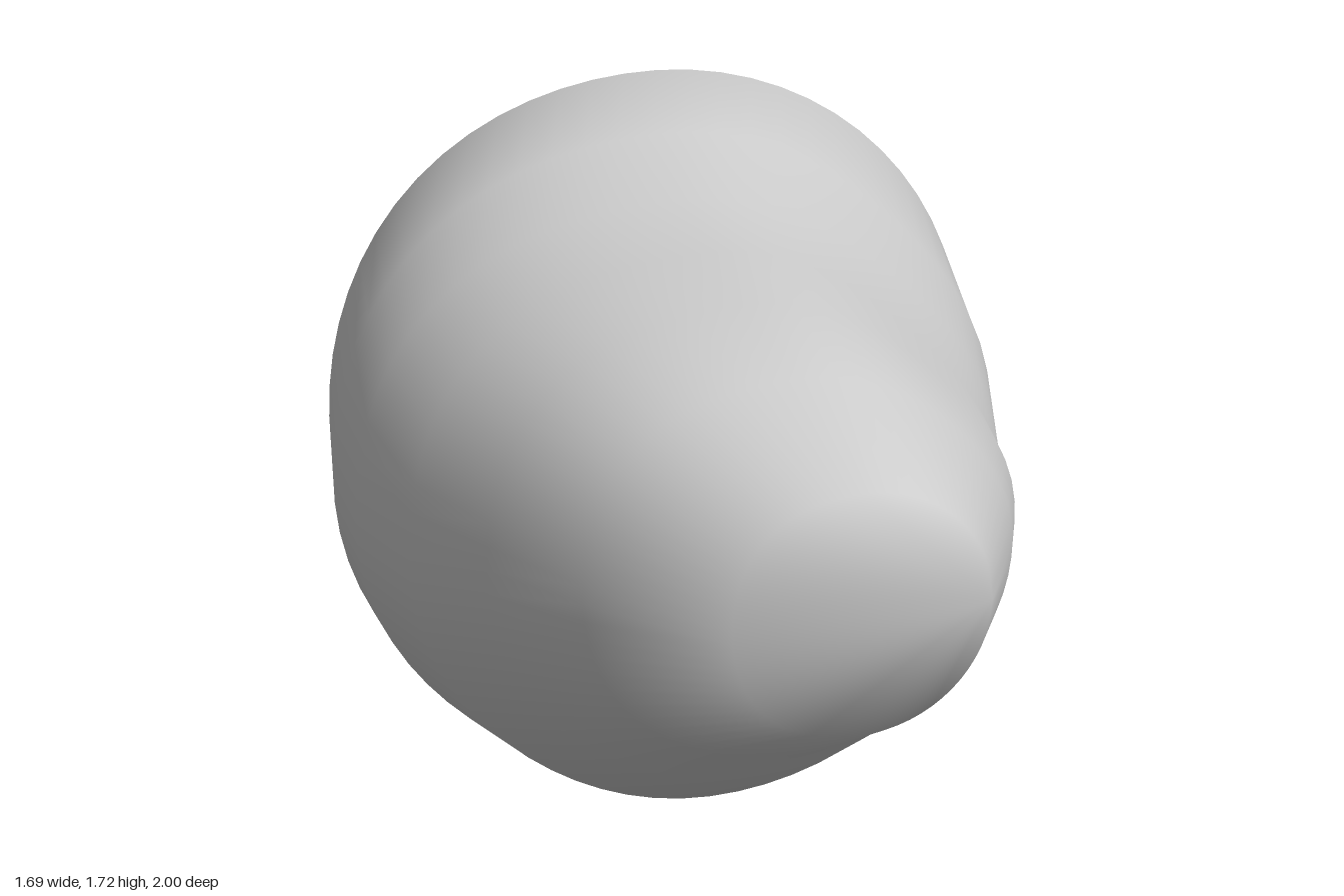
import * as THREE from 'three';

// Cross-sections from front to back: [z, left x, right x, bottom y, top y,
// fullness of the upper left (+x), upper right, lower right and lower left diagonals]
const SECTIONS = [
  [1.0, -0.25, 0.32, 0.80, 1.37, 0, 0.04, 0.04, 0],
  [0.71, -0.50, 0.47, 0.60, 1.51, -0.03, 0.05, 0.03, 0],
  [0.43, -0.65, 0.58, 0.39, 1.57, -0.07, 0.06, 0, 0],
  [0.14, -0.77, 0.66, 0.17, 1.58, -0.07, 0.06, -0.02, 0],
  [-0.14, -0.845, 0.745, 0.09, 1.60, -0.06, 0.05, -0.02, 0],
  [-0.43, -0.85, 0.83, 0.0, 1.66, -0.05, 0.03, -0.01, 0],
  [-0.71, -0.81, 0.845, 0.03, 1.72, 0, 0.02, -0.01, 0.01],
  [-1.0, -0.69, 0.81, 0.21, 1.61, 0, -0.09, 0, 0.03],
];
const SIDES = 64;

// Loft rounded rings, then close both ends with a fan from the first rim point
function loft(sections, sides) {
  const positions = [];
  const indices = [];
  const last = sections.length - 1;

  sections.forEach(([z, x0, x1, y0, y1, ...fullness], i) => {
    const twist = 0.2 * i / last;
    for (let j = 0; j < sides; j++) {
      const t = twist + (j / sides) * Math.PI * 2;
      const quadrant = Math.floor(t / (Math.PI / 2)) % 4;
      const r = 1 + fullness[quadrant] * Math.sin(2 * t) ** 2;
      positions.push(
        (x0 + x1) / 2 + (x1 - x0) / 2 * r * Math.cos(t),
        (y0 + y1) / 2 + (y1 - y0) / 2 * r * Math.sin(t),
        z
      );
    }
  });

  // Side wall
  for (let i = 0; i < last; i++) {
    for (let j = 0; j < sides; j++) {
      const k = (j + 1) % sides;
      const a = i * sides + j, b = i * sides + k;
      const c = a + sides, d = b + sides;
      indices.push(a, c, b, b, c, d);
    }
  }

  // Flat front and back ends, sharing the rim so the shading stays soft
  const back = last * sides;
  for (let j = 1; j < sides - 1; j++) {
    indices.push(0, j, j + 1);
    indices.push(back, back + j + 1, back + j);
  }

  const geometry = new THREE.BufferGeometry();
  geometry.setAttribute('position', new THREE.Float32BufferAttribute(positions, 3));
  geometry.setIndex(indices);
  geometry.computeVertexNormals();
  return geometry;
}

export function createModel() {
  const group = new THREE.Group();
  const material = new THREE.MeshStandardMaterial({ color: 0xcccccc });
  const body = new THREE.Mesh(loft(SECTIONS, SIDES), material);
  body.name = 'taperedBody';
  group.add(body);
  return group;
}
